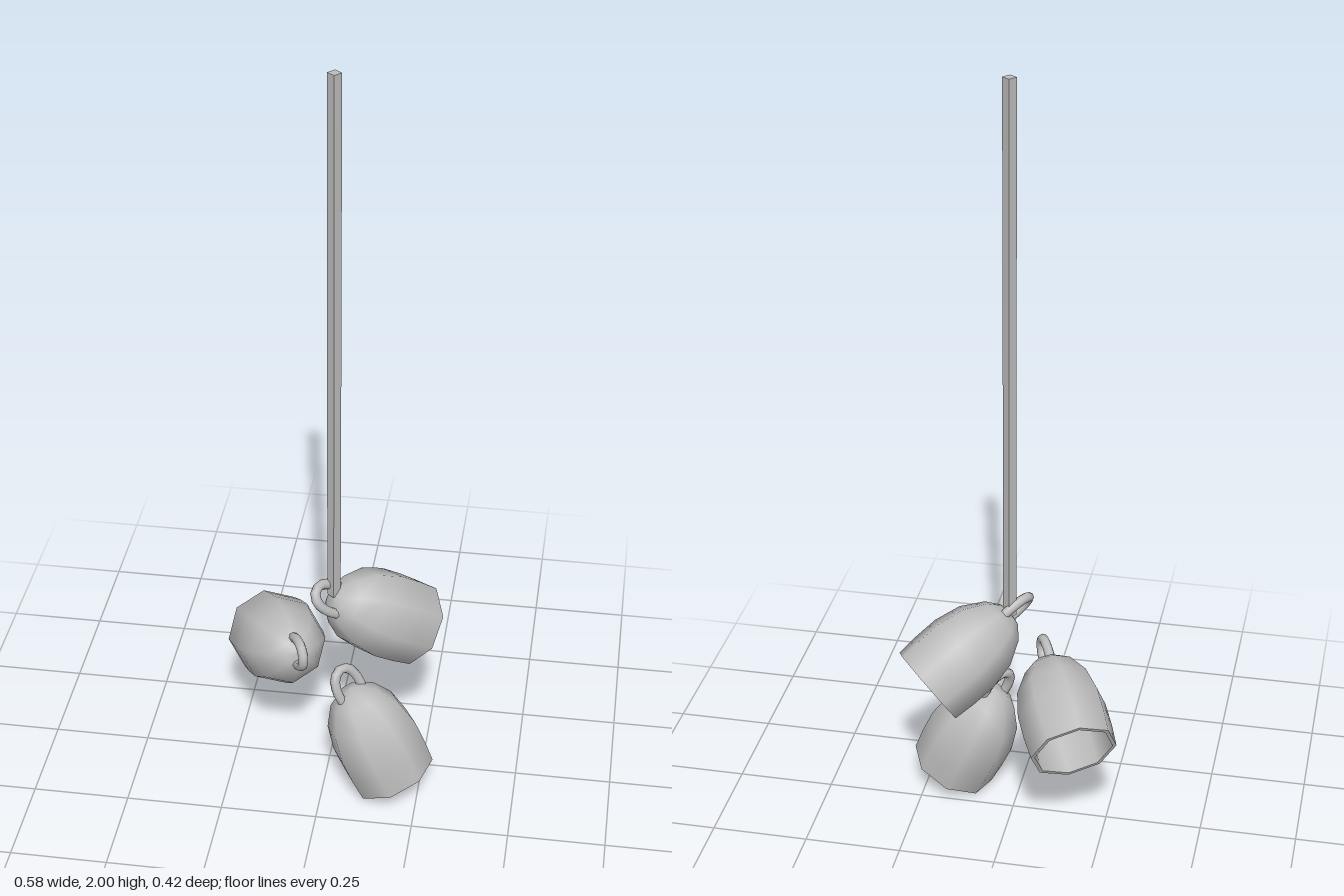
import * as THREE from 'three';

const V2 = (x, y) => new THREE.Vector2(x, y);
const V3 = (x, y, z) => new THREE.Vector3(x, y, z);

export function createModel() {
  const model = new THREE.Group();
  model.name = 'hangingBells';
  const metal = new THREE.MeshStandardMaterial({ color: 0xbcbcbc });
  metal.name = 'grey metal';

  const add = (parent, geometry, name) => {
    const mesh = new THREE.Mesh(geometry, metal);
    mesh.name = name;
    parent.add(mesh);
    return mesh;
  };

  // Square pole standing on its corner edges
  const pole = add(model, new THREE.CylinderGeometry(0.017, 0.017, 1.43, 4, 1), 'pole');
  pole.geometry = pole.geometry.toNonIndexed();
  pole.geometry.computeVertexNormals();
  pole.position.set(0.017, 1.285, 0.042);
  pole.rotation.y = 0.1;

  // Bell parts: mouth at y = 0, crown towards +y
  const outer = [V2(0.113, 0), V2(0.117, 0.06), V2(0.117, 0.125), V2(0.102, 0.195),
    V2(0.068, 0.252), V2(0.034, 0.278), V2(0, 0.284)];
  const inner = [V2(0, 0.27), V2(0.06, 0.245), V2(0.093, 0.19), V2(0.107, 0.125), V2(0.103, 0)];
  const shellGeo = new THREE.LatheGeometry(outer, 8);
  const insideGeo = new THREE.LatheGeometry(inner, 8);
  const rimGeo = new THREE.LatheGeometry([inner.at(-1), outer[0]], 8);

  // Hanging loop: a tube bent into an arch
  const arch = new THREE.CatmullRomCurve3([
    V3(-0.034, 0.255, 0), V3(-0.036, 0.295, 0), V3(-0.024, 0.332, 0), V3(0, 0.345, 0),
    V3(0.024, 0.332, 0), V3(0.036, 0.295, 0), V3(0.034, 0.255, 0)]);
  const loopGeo = new THREE.TubeGeometry(arch, 12, 0.013, 8, false);

  // name, centre of the mouth, direction of the mouth, width direction of the loop
  const bells = [
    ['upperBell', V3(0.207, 0.41, -0.085), V3(0.67, -0.55, -0.5), V3(0.03, -0.65, 0.75)],
    ['middleBell', V3(-0.185, 0.295, -0.14), V3(-0.4, -0.42, -0.82), V3(0, 1, 0)],
    ['lowerBell', V3(0.183, 0.05, 0.097), V3(0.42, -0.91, 0.03), V3(0.6, 0.25, -0.75)],
  ];
  for (const [name, mouth, direction, across] of bells) {
    const bell = new THREE.Group();
    bell.name = name;
    add(bell, shellGeo, 'shell');
    add(bell, insideGeo, 'inside');
    add(bell, rimGeo, 'rim');
    add(bell, loopGeo, 'loop');
    const up = direction.clone().normalize().negate();
    const side = across.clone().addScaledVector(up, -across.dot(up)).normalize();
    const basis = new THREE.Matrix4().makeBasis(side, up, side.clone().cross(up));
    bell.quaternion.setFromRotationMatrix(basis);
    bell.position.copy(mouth);
    model.add(bell);
  }
  return model;
}
